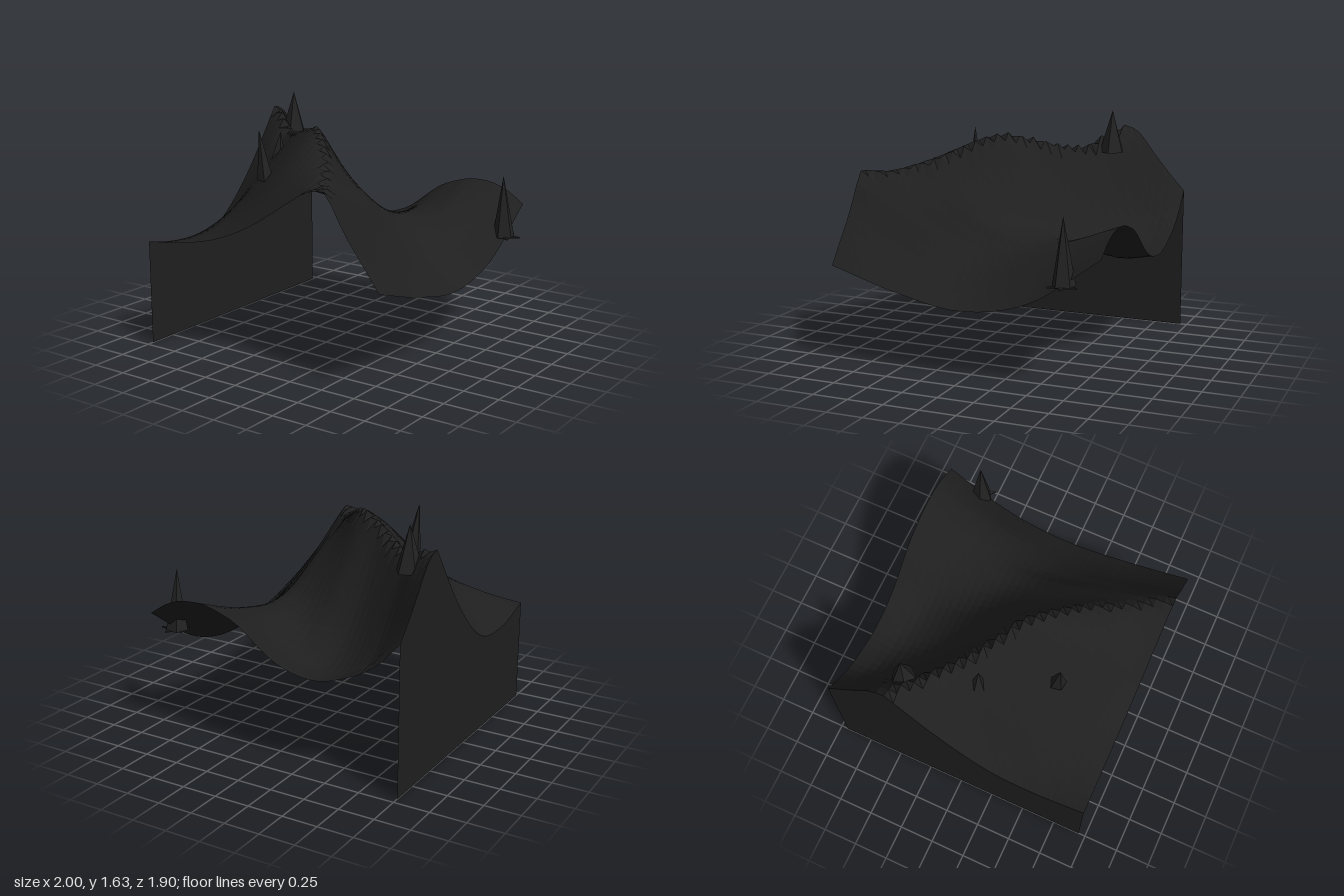
import * as THREE from 'three';

const terrainDark = new THREE.MeshStandardMaterial({ color: 0x1f1f1f, flatShading: true, side: THREE.DoubleSide });
terrainDark.name = 'charcoal ground';
const spikeDark = new THREE.MeshStandardMaterial({ color: 0x222222, flatShading: true, side: THREE.DoubleSide });
spikeDark.name = 'charcoal spike';

const HALF = 0.95, CELLS = 32;

// Smooth curve through (xs, ys) with uneven spacing
function spline(xs, ys, x) {
  const n = xs.length;
  let i = 0;
  while (i < n - 2 && x > xs[i + 1]) i++;
  const slope = (k) => {
    const a = Math.max(k - 1, 0), b = Math.min(k + 1, n - 1);
    return (ys[b] - ys[a]) / (xs[b] - xs[a]);
  };
  const h = xs[i + 1] - xs[i];
  const t = Math.min(Math.max((x - xs[i]) / h, 0), 1), t2 = t * t, t3 = t2 * t;
  return (2 * t3 - 3 * t2 + 1) * ys[i] + (t3 - 2 * t2 + t) * h * slope(i)
    + (3 * t2 - 2 * t3) * ys[i + 1] + (t3 - t2) * h * slope(i + 1);
}

// Stations across x; the ridge crosses the ground diagonally
const stations = [-1, -0.85, -0.7, -0.4, -0.1, 0.2, 0.35, 0.48, 0.65, 0.78, 0.9];
const ridgeZ = [-0.48, -0.39, -0.29, -0.04, 0.17, 0.5, 0.73, 0.95, 0.95, 0.95, 0.95];
const steps = [0, 0.25, 0.5, 0.75, 1];

// Heights from the back edge up to the ridge, one row per station
const backSlope = [
  [1.03, 1.16, 1.30, 1.45, 1.51],
  [0.87, 0.96, 1.11, 1.32, 1.47],
  [0.77, 0.80, 0.94, 1.16, 1.385],
  [0.67, 0.66, 0.80, 1.09, 1.45],
  [0.73, 0.69, 0.84, 1.15, 1.51],
  [0.94, 0.84, 0.89, 1.12, 1.35],
  [1.00, 0.87, 0.89, 1.08, 1.27],
  [1.03, 0.865, 0.80, 1.00, 1.28],
  [1.02, 0.80, 0.665, 0.79, 1.02],
  [0.97, 0.69, 0.56, 0.65, 0.85],
  [0.89, 0.57, 0.47, 0.55, 0.69],
];
// Heights from the ridge down to the front edge
const frontSlope = [
  [1.51, 1.03, 0.71, 0.655, 0.735],
  [1.47, 1.09, 0.82, 0.74, 0.75],
  [1.385, 1.16, 0.95, 0.82, 0.77],
  [1.45, 1.31, 1.14, 0.97, 0.84],
  [1.51, 1.41, 1.28, 1.12, 0.97],
  [1.35, 1.32, 1.27, 1.21, 1.16],
  [1.27, 1.27, 1.26, 1.26, 1.25],
  [1.28, 1.28, 1.28, 1.28, 1.28],
];

function sheet(rows, x, t) {
  const across = steps.map((_, k) => spline(stations.slice(0, rows.length), rows.map((r) => r[k]), x));
  return spline(steps, across, t);
}

function heightAt(x, z) {
  const zr = x >= 0.48 ? HALF : Math.min(HALF, spline(stations, ridgeZ, x));
  if (z <= zr) return sheet(backSlope, x, (z + HALF) / (zr + HALF));
  return sheet(frontSlope, x, (z - zr) / (HALF - zr));
}

function makeTerrain() {
  const geo = new THREE.PlaneGeometry(2 * HALF, 2 * HALF, CELLS, CELLS);
  geo.rotateX(-Math.PI / 2);
  geo.translate(-0.05, 0, 0);
  const p = geo.attributes.position;
  for (let i = 0; i < p.count; i++) p.setY(i, heightAt(p.getX(i), p.getZ(i)));
  geo.computeVertexNormals();
  const mesh = new THREE.Mesh(geo, terrainDark);
  mesh.name = 'terrain';
  return mesh;
}

// Flat side wall from the floor up to the terrain edge
function makeWall() {
  const geo = new THREE.PlaneGeometry(2 * HALF, 1, CELLS, 1);
  geo.rotateY(-Math.PI / 2);
  const p = geo.attributes.position;
  for (let i = 0; i < p.count; i++) {
    p.setXYZ(i, -1, p.getY(i) > 0 ? heightAt(-1, p.getZ(i)) : 0, p.getZ(i));
  }
  geo.computeVertexNormals();
  const mesh = new THREE.Mesh(geo, terrainDark);
  mesh.name = 'sideWall';
  return mesh;
}

// Five-sided rock spike whose tip leans by (dx, dz)
function makeSpike({ x, y, z, r, h, dx = 0, dz = 0, turn = 0 }) {
  const geo = new THREE.ConeGeometry(r, h, 5, 1);
  geo.rotateY(turn);
  geo.translate(0, h / 2, 0);
  const p = geo.attributes.position;
  for (let i = 0; i < p.count; i++) {
    const t = p.getY(i) / h;
    p.setX(i, p.getX(i) + dx * t);
    p.setZ(i, p.getZ(i) + dz * t);
  }
  geo.computeVertexNormals();
  const mesh = new THREE.Mesh(geo, spikeDark);
  mesh.name = 'rockSpike';
  mesh.position.set(x, y, z);
  return mesh;
}

// Thin jagged star of rock around the foot of the edge spike
function makeCollar(x, y, z, r, h) {
  const shape = new THREE.Shape();
  for (let i = 0; i < 10; i++) {
    const a = (i / 10) * Math.PI * 2 + 0.2, q = i % 2 ? r * 0.45 : r;
    shape[i ? 'lineTo' : 'moveTo'](Math.cos(a) * q, Math.sin(a) * q);
  }
  shape.closePath();
  const geo = new THREE.ExtrudeGeometry(shape, { depth: h, bevelEnabled: false });
  geo.rotateX(-Math.PI / 2);
  const mesh = new THREE.Mesh(geo, spikeDark);
  mesh.name = 'rockCollar';
  mesh.position.set(x, y, z);
  return mesh;
}

export function createModel() {
  const model = new THREE.Group();
  model.name = 'ridgeTerrain';
  model.add(makeTerrain(), makeWall());

  const spikes = new THREE.Group();
  spikes.name = 'rockSpikes';
  [
    { x: -0.795, y: 1.32, z: -0.45, r: 0.095, h: 0.31, turn: 0.3 },
    { x: -0.61, y: 1.20, z: -0.01, r: 0.06, h: 0.21, dx: 0.025, turn: 0.9 },
    { x: -0.355, y: 1.16, z: 0.455, r: 0.06, h: 0.35, dx: -0.035, dz: 0.025, turn: 0.5 },
    { x: 0.88, y: 0.70, z: -0.70, r: 0.08, h: 0.44, dx: -0.01, dz: 0.01, turn: 1.2 },
  ].forEach((s) => spikes.add(makeSpike(s)));
  spikes.add(makeCollar(0.9, 0.695, -0.7, 0.1, 0.01));
  model.add(spikes);
  return model;
}
